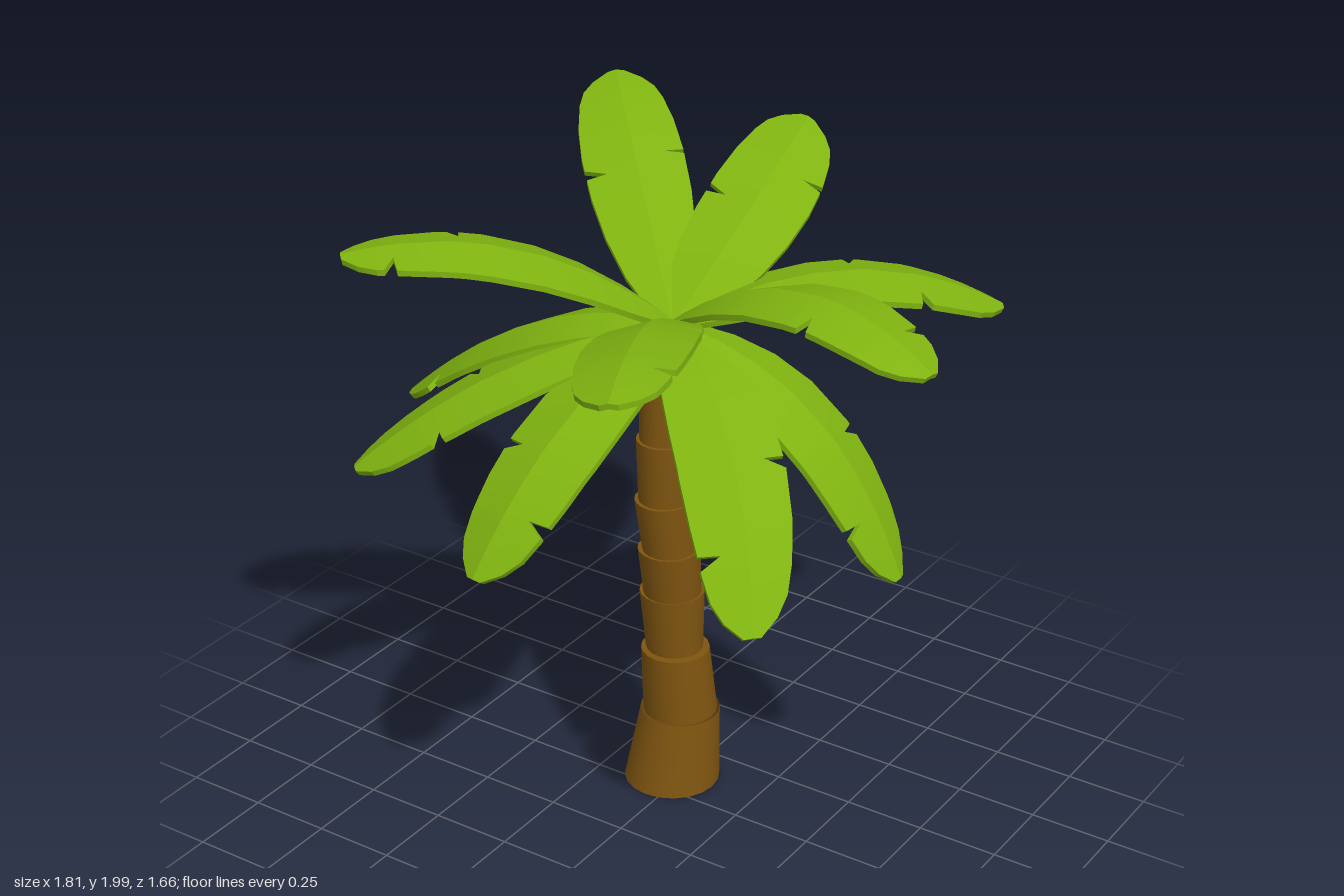
import * as THREE from 'three';
import { toCreasedNormals } from 'three/addons/utils/BufferGeometryUtils.js';

const bark = new THREE.MeshStandardMaterial({ color: 0x7f5510, side: THREE.DoubleSide });
bark.name = 'brown bark';
const green = new THREE.MeshStandardMaterial({ color: 0x7fb310 });
green.name = 'leaf green';

// Half width of a frond along its length: [t, width]
const OUTLINE = [[0, 0.02], [0.06, 0.06], [0.15, 0.1], [0.28, 0.132], [0.42, 0.148],
  [0.58, 0.152], [0.72, 0.144], [0.84, 0.127], [0.91, 0.108], [0.96, 0.075], [1, 0.025]];
const THICK = 0.017;
const FOLD = 0.032;

function outlineWidth(t) {
  const i = Math.max(1, OUTLINE.findIndex((p) => p[0] >= t));
  const [a, wa] = OUTLINE[i - 1], [b, wb] = OUTLINE[i];
  return THREE.MathUtils.lerp(wa, wb, (t - a) / (b - a));
}

// Width with narrow V-shaped tears cut into the edge
function tornWidth(t, tears) {
  const torn = tears.some((c) => Math.abs(c - t) < 0.001);
  return outlineWidth(t) - (torn ? 0.06 : 0);
}

// Folded, curved blade: rings of six points swept along a quadratic curve.
// A positive roll lifts the right edge, seen from the base towards the tip.
function frondGeometry(base, mid, tip, leftTears, rightTears, roll) {
  const ctrl = mid.clone().multiplyScalar(2).addScaledVector(base, -0.5).addScaledVector(tip, -0.5);
  const curve = new THREE.QuadraticBezierCurve3(base, ctrl, tip);
  const level = new THREE.Vector3(base.z - tip.z, 0, tip.x - base.x).normalize();

  const stations = OUTLINE.map((p) => p[0]);
  for (const c of [...leftTears, ...rightTears]) stations.push(c - 0.006, c, c + 0.03);
  stations.sort((a, b) => a - b);

  const pos = [], index = [];
  for (const t of stations) {
    const p = curve.getPoint(t);
    const tangent = curve.getTangent(t);
    const side = level.clone().applyAxisAngle(tangent, -roll);
    const up = side.clone().cross(tangent).normalize();
    const l = tornWidth(t, leftTears), r = tornWidth(t, rightTears);
    const drop = (w) => -FOLD * w / 0.15;
    const ring = [[-l, drop(l)], [0, 0], [r, drop(r)],
      [r, drop(r) - THICK], [0, -THICK], [-l, drop(l) - THICK]];
    for (const [s, u] of ring) {
      const v = p.clone().addScaledVector(side, s).addScaledVector(up, u + 0.02);
      pos.push(v.x, v.y, v.z);
    }
  }
  for (let i = 0; i < stations.length - 1; i++) {
    for (let j = 0; j < 6; j++) {
      const a = i * 6 + j, b = i * 6 + (j + 1) % 6;
      index.push(a, b, b + 6, a, b + 6, a + 6);
    }
  }
  // end caps
  const e = (stations.length - 1) * 6;
  for (const [a, b, c] of [[0, 1, 4], [0, 4, 5], [1, 2, 3], [1, 3, 4]]) {
    index.push(a, c, b, e + a, e + b, e + c);
  }
  const g = new THREE.BufferGeometry();
  g.setAttribute('position', new THREE.Float32BufferAttribute(pos, 3));
  g.setIndex(index);
  return toCreasedNormals(g, 0.3);
}

// Leaning, tapered trunk section with level ends
function trunkSection([y0, x0, z0, r0, y1, x1, z1, r1], open) {
  const h = y1 - y0;
  const g = new THREE.CylinderGeometry(r1, r0, h, 20, 1, open);
  g.applyMatrix4(new THREE.Matrix4().makeShear(0, 0, (x1 - x0) / h, (z1 - z0) / h, 0, 0));
  g.translate((x0 + x1) / 2, (y0 + y1) / 2, (z0 + z1) / 2);
  return new THREE.Mesh(g, bark);
}

export function createModel() {
  const model = new THREE.Group();
  model.name = 'palmTree';

  // Trunk: bottom y, x, z, radius, then top y, x, z, radius
  const trunk = new THREE.Group();
  trunk.name = 'trunk';
  const sections = [
    [0, -0.04, -0.09, 0.147, 0.24, -0.024, -0.11, 0.122],
    [0.24, -0.022, -0.108, 0.113, 0.46, -0.03, -0.092, 0.104],
    [0.46, -0.037, -0.098, 0.087, 0.655, -0.042, -0.092, 0.098],
    [0.655, -0.037, -0.085, 0.087, 0.81, -0.038, -0.07, 0.094],
    [0.81, -0.035, -0.065, 0.08, 0.98, -0.045, -0.05, 0.086],
    [0.98, -0.043, -0.052, 0.077, 1.18, -0.042, -0.045, 0.08],
    [1.18, -0.042, -0.047, 0.072, 1.36, -0.04, -0.052, 0.075],
    [1.36, -0.038, -0.055, 0.066, 1.53, -0.035, -0.07, 0.05],
  ];
  sections.forEach((s, i) => {
    const m = trunkSection(s, i === 0); // the foot is hollow
    m.name = `trunkSection${i + 1}`;
    trunk.add(m);
  });
  model.add(trunk);

  // Fronds: middle point, tip, tears on the left and right edges, roll
  const crown = new THREE.Group();
  crown.name = 'crown';
  const fronds = [
    ['raisedBackRight', [-0.36, 1.825, -0.385], [-0.65, 1.97, -0.70], [0.5], [0.57], 0.05],
    ['raisedBack', [0.0, 1.77, -0.45], [-0.05, 1.905, -0.83], [0.5], [0.7], -0.3],
    ['upperBackLeft', [0.33, 1.645, -0.41], [0.67, 1.51, -0.73], [0.54], [0.72], 0],
    ['upperLeft', [0.42, 1.75, -0.01], [0.89, 1.67, 0.10], [0.84], [0.64], 0],
    ['upperFrontLeft', [0.17, 1.715, 0.38], [0.37, 1.735, 0.82], [0.35, 0.78], [0.45], -0.12],
    ['upperFrontRight', [-0.36, 1.77, 0.22], [-0.71, 1.79, 0.55], [0.86], [0.66], 0],
    ['lowerFrontLeft', [0.32, 1.35, 0.18], [0.59, 0.97, 0.48], [0.55], [0.8], 0],
    ['lowerLeft', [0.40, 1.335, -0.12], [0.69, 0.90, -0.13], [0.6], [0.82], 0],
    ['lowerFront', [-0.08, 1.38, 0.38], [-0.14, 1.04, 0.73], [0.8], [0.6], 0],
    ['lowerFrontRight', [-0.38, 1.405, 0.22], [-0.71, 1.13, 0.53], [0.75], [0.6], 0],
    ['lowerRight', [-0.46, 1.435, -0.02], [-0.9, 1.12, 0.02], [0.84], [0.72], 0],
    ['lowerBack', [-0.065, 1.28, -0.40], [-0.15, 0.74, -0.595], [0.45], [0.65], 0],
  ];
  const base = new THREE.Vector3(-0.03, 1.52, -0.075);
  for (const [name, mid, tip, left, right, roll] of fronds) {
    const g = frondGeometry(base, new THREE.Vector3(...mid), new THREE.Vector3(...tip), left, right, roll);
    const frond = new THREE.Mesh(g, green);
    frond.name = `${name}Frond`;
    crown.add(frond);
  }
  model.add(crown);
  return model;
}
